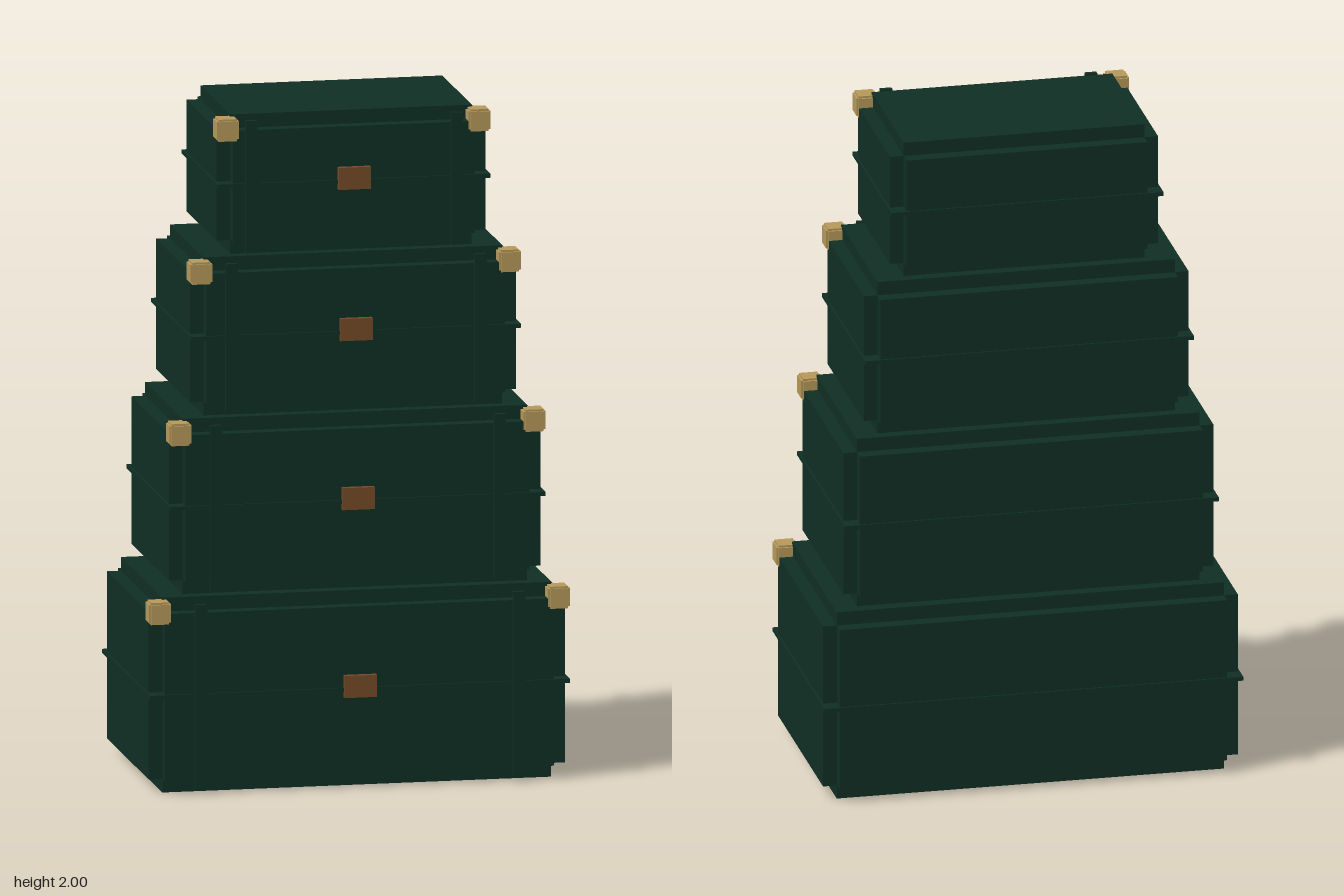
import * as THREE from 'three';

const green = new THREE.MeshStandardMaterial({ color: 0x0f2e24 });
green.name = 'dark green leather';
const brass = new THREE.MeshStandardMaterial({ color: 0xb5985a });
brass.name = 'brass';
const brown = new THREE.MeshStandardMaterial({ color: 0x734a26 });
brown.name = 'brown latch';

function box(parent, name, material, [w, h, d], [x, y, z]) {
  const mesh = new THREE.Mesh(new THREE.BoxGeometry(w, h, d), material);
  mesh.name = name;
  mesh.position.set(x, y, z);
  parent.add(mesh);
}

// Box with stepped edges: three crossing boxes, each full size along one axis
function steppedBox(parent, name, material, size, position, inset) {
  const group = new THREE.Group();
  group.name = name;
  group.position.set(...position);
  for (let axis = 0; axis < 3; axis++) {
    const dims = size.map((s, i) => (i === axis ? s : s - 2 * inset));
    box(group, name + 'Block', material, dims, [0, 0, 0]);
  }
  parent.add(group);
}

// One trunk with half width hw and half depth hd, between two heights
function makeTrunk(hw, hd, bottom, top) {
  const trunk = new THREE.Group();
  trunk.name = 'trunk';
  const zc = -0.008;
  const front = zc + hd;
  const h = top - bottom;
  const mid = (top + bottom) / 2;

  steppedBox(trunk, 'body', green, [2 * hw, h, 2 * hd], [0, mid, zc], 0.041);
  // Square-cornered seam between lid and base
  box(trunk, 'seam', green, [2 * hw + 0.012, 0.012, 2 * hd + 0.012], [0, mid + 0.003, zc]);
  box(trunk, 'latch', brown, [0.096, 0.066, 0.02], [0, mid + 0.014, front + 0.008]);

  for (const side of [-1, 1]) {
    box(trunk, 'strap', green, [0.035, h * 0.95, 0.015], [side * hw * 0.764, mid, front + 0.006]);
    steppedBox(trunk, 'cornerGuard', brass, [0.066, 0.066, 0.066],
      [side * (hw - 0.026), top - 0.039, front - 0.026], 0.006);
  }
  return trunk;
}

export function createModel() {
  const model = new THREE.Group();
  model.name = 'trunkStack';
  // half width, half depth, bottom, top
  const trunks = [
    [0.622, 0.345, 0, 0.582],
    [0.555, 0.316, 0.585, 1.108],
    [0.487, 0.287, 1.11, 1.582],
    [0.402, 0.258, 1.584, 2],
  ];
  for (const t of trunks) model.add(makeTrunk(...t));
  return model;
}
